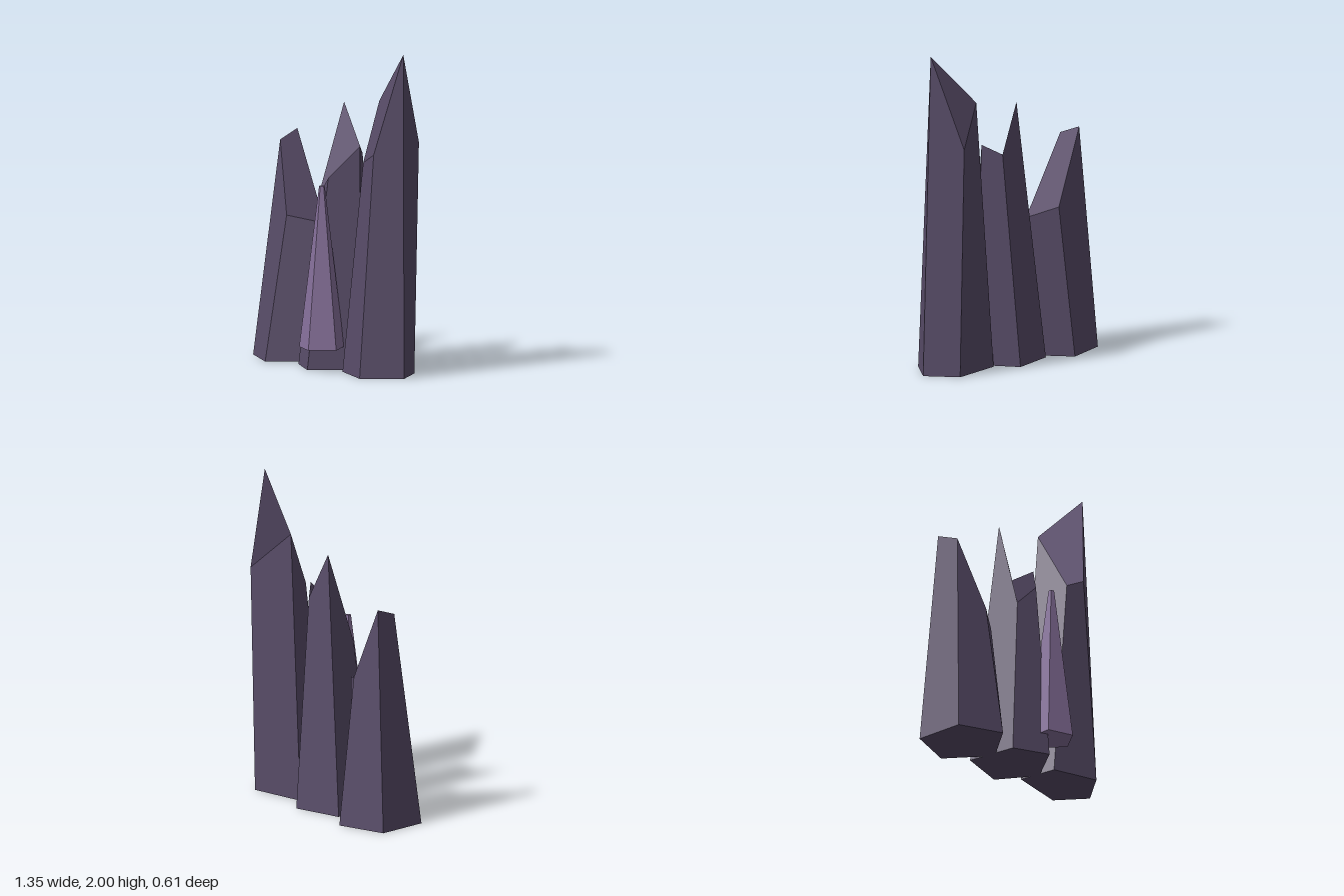
import * as THREE from 'three';

// Adds one flat polygon (corners counter-clockwise) as a fan with a single averaged normal.
function addFace(pos, nor, corners) {
  const n = new THREE.Vector3();
  corners.forEach((p, i) => {
    const q = corners[(i + 1) % corners.length];
    n.add(new THREE.Vector3().crossVectors(p, q));
  });
  n.normalize();
  for (let i = 1; i < corners.length - 1; i++) {
    for (const p of [corners[0], corners[i], corners[i + 1]]) {
      pos.push(p.x, p.y, p.z);
      nor.push(n.x, n.y, n.z);
    }
  }
}

// Five-sided shard: rings run left-back, back, right, front, left-front.
function shardGeometry(base, top, fanStart) {
  const b = base.map(([x, z]) => new THREE.Vector3(x, 0, z));
  const t = top.map(([x, y, z]) => new THREE.Vector3(x, y, z));
  const pos = [], nor = [], n = b.length;
  for (let i = 0; i < n; i++) {
    const j = (i + 1) % n;
    addFace(pos, nor, [b[j], b[i], t[i], t[j]]);
  }
  addFace(pos, nor, b);
  addFace(pos, nor, t.map((_, i) => t[(fanStart - i + n) % n]));
  const g = new THREE.BufferGeometry();
  g.setAttribute('position', new THREE.Float32BufferAttribute(pos, 3));
  g.setAttribute('normal', new THREE.Float32BufferAttribute(nor, 3));
  return g;
}

export function createModel() {
  const model = new THREE.Group();
  model.name = 'crystalCluster';

  const darkCrystal = new THREE.MeshStandardMaterial({ color: 0x584c68 });
  darkCrystal.name = 'dark crystal';
  const paleCrystal = new THREE.MeshStandardMaterial({ color: 0x86709a });
  paleCrystal.name = 'pale crystal';

  // Three large shards with slanted, broken tops
  const shards = [
    {
      name: 'rightShard', fanStart: 1,
      base: [[-0.674, -0.205], [-0.375, -0.306], [-0.177, -0.04], [-0.386, 0.225], [-0.66, 0.11]],
      top: [[-0.562, 1.39, -0.155], [-0.362, 0.92, -0.18], [-0.19, 0.86, -0.06],
        [-0.373, 0.895, 0.07], [-0.544, 1.335, -0.01]],
    },
    {
      name: 'middleShard', fanStart: 1,
      base: [[-0.234, -0.195], [0.07, -0.28], [0.22, -0.04], [0.035, 0.22], [-0.187, 0.12]],
      top: [[-0.049, 1.62, -0.126], [0.1, 1.317, -0.155], [0.192, 1.378, -0.065],
        [0.062, 1.18, 0.08], [-0.076, 1.04, 0.054]],
    },
    {
      name: 'leftShard', fanStart: 0,
      base: [[0.18, -0.157], [0.535, -0.223], [0.672, -0.04], [0.503, 0.173], [0.216, 0.087]],
      top: [[0.303, 1.67, -0.13], [0.535, 1.43, -0.258], [0.632, 2, -0.065],
        [0.503, 1.376, 0.065], [0.373, 1.31, 0.047]],
    },
  ];
  for (const s of shards) {
    const mesh = new THREE.Mesh(shardGeometry(s.base, s.top, s.fanStart), darkCrystal);
    mesh.name = s.name;
    model.add(mesh);
  }

  // Small pale spike in front, with one edge pointing to +x
  const spikeGeometry = new THREE.CylinderGeometry(0.018, 0.145, 1.002, 5).toNonIndexed();
  spikeGeometry.computeVertexNormals();
  spikeGeometry.rotateY(Math.PI / 2);
  const spike = new THREE.Mesh(spikeGeometry, paleCrystal);
  spike.name = 'smallSpike';
  spike.position.set(0.11, 0.644, 0.165);
  model.add(spike);

  return model;
}
